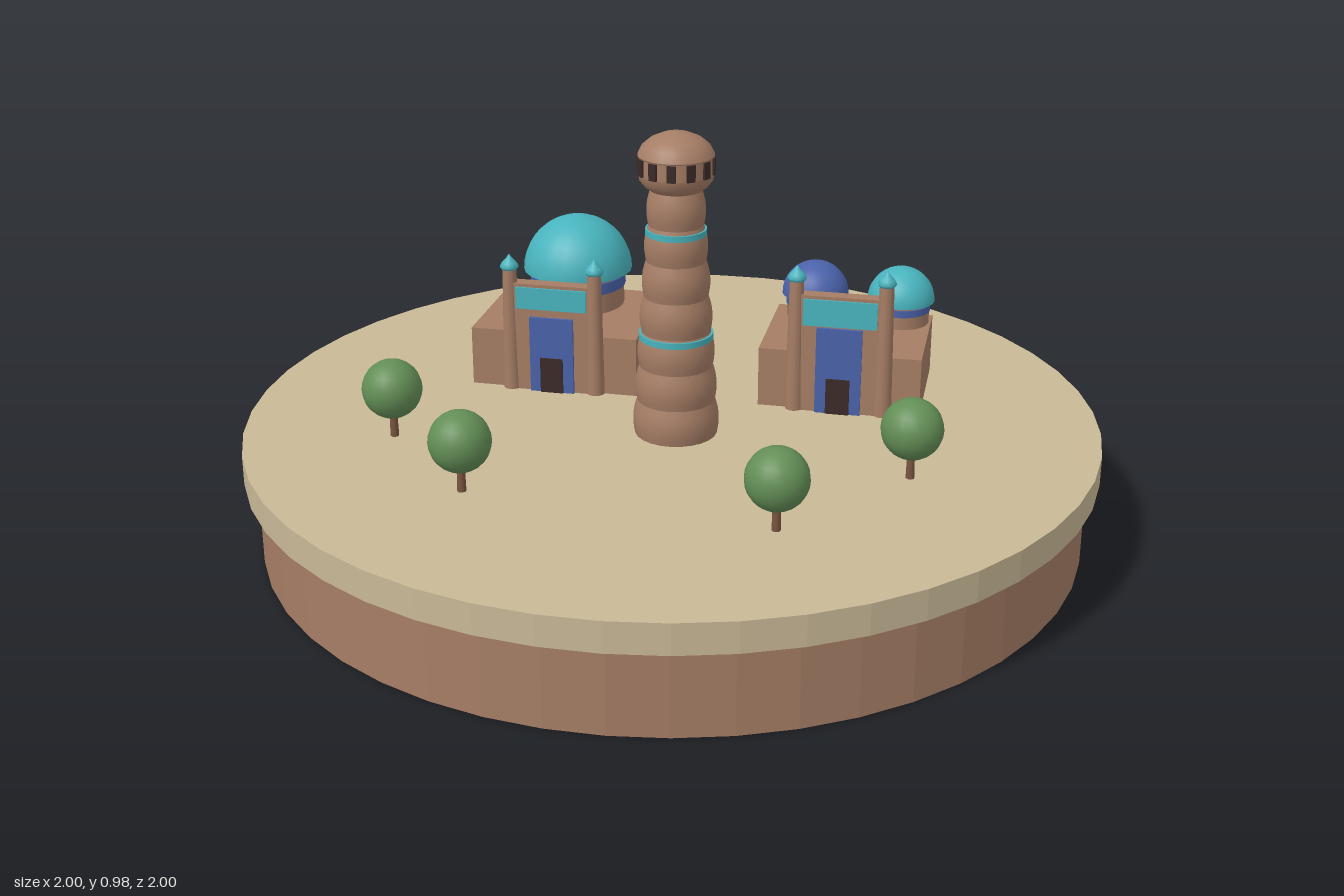
import * as THREE from 'three';

const material = (name, color, flatShading = false) => {
  const m = new THREE.MeshStandardMaterial({ color, flatShading });
  m.name = name;
  return m;
};

export function createModel() {
  const sand = material('sand', 0xc8b896, true);
  const brick = material('brick', 0xa57d65);
  const turquoise = material('turquoise tile', 0x48b3bd);
  const blue = material('blue tile', 0x4a62aa);
  const green = material('foliage', 0x638e56);
  const dark = material('dark opening', 0x3a2a28);
  const bark = material('bark', 0x7a5540);

  const GROUND = 0.27;
  const root = new THREE.Group();
  root.name = 'desertCity';

  const add = (parent, name, geometry, mat, x = 0, y = 0, z = 0) => {
    const mesh = new THREE.Mesh(geometry, mat);
    mesh.name = name;
    mesh.position.set(x, y, z);
    parent.add(mesh);
    return mesh;
  };
  const group = (name, x, y, z) => {
    const g = new THREE.Group();
    g.name = name;
    g.position.set(x, y, z);
    root.add(g);
    return g;
  };
  const box = (w, h, d) => new THREE.BoxGeometry(w, h, d);
  const cyl = (top, bottom, h, n = 24) => new THREE.CylinderGeometry(top, bottom, h, n);
  const lathe = (points, n = 24) =>
    new THREE.LatheGeometry(points.map(([r, y]) => new THREE.Vector2(r, y)), n);

  // Round two-step base
  add(root, 'plinth', cyl(0.97, 0.97, 0.2, 48).toNonIndexed(), brick, 0, 0.1, 0)
    .geometry.computeVertexNormals();
  add(root, 'groundDisc', cyl(1, 1, 0.07, 48), sand, 0, 0.235, 0);

  // Great minaret: tapering stack of bulging drums
  const minaret = group('greatMinaret', -0.005, GROUND, 0.11);
  const drums = 7, drumH = 0.0835, shaftH = drums * drumH;
  const radiusAt = (y) => 0.098 - 0.038 * (y / shaftH);
  for (let i = 0; i < drums; i++) {
    const points = [];
    for (let k = 0; k <= 6; k++) {
      const y = (i + k / 6) * drumH;
      points.push([radiusAt(y) - 0.003 + 0.007 * Math.sin(Math.PI * k / 6), y]);
    }
    add(minaret, 'shaftDrum', lathe(points), brick);
  }
  for (const y of [0.24, 0.486]) {
    const r = radiusAt(y) + 0.003;
    add(minaret, 'tileBand', cyl(r, r, 0.014), turquoise, 0, y, 0);
  }

  // Gallery with dark arches and a low cap
  add(minaret, 'galleryFlare',
    lathe([[0.058, 0.582], [0.072, 0.592], [0.082, 0.605], [0.085, 0.62]]), brick);
  add(minaret, 'galleryWall', cyl(0.083, 0.083, 0.045), brick, 0, 0.639, 0);
  for (let i = 0; i < 12; i++) {
    const a = (i + 0.5) * Math.PI / 6;
    const slot = add(minaret, 'galleryOpening', box(0.02, 0.038, 0.008), dark,
      0.0825 * Math.sin(a), 0.638, 0.0825 * Math.cos(a));
    slot.rotation.y = a;
  }
  add(minaret, 'galleryCap', lathe([[0, 0.659], [0.086, 0.659]].concat(
    [[0.086, 0.662], [0.076, 0.682], [0.058, 0.697], [0.03, 0.709], [0, 0.714]])), brick);

  // Dome on a banded drum
  const addDome = (parent, roof, { x, z, r, drum, tile }) => {
    const g = new THREE.Group();
    g.name = 'dome';
    g.position.set(x, roof, z);
    parent.add(g);
    add(g, 'domeDrum', cyl(r * 0.85, r * 0.85, drum), brick, 0, drum / 2, 0);
    add(g, 'domeBand', cyl(r * 0.88, r * 0.88, drum * 0.32), blue, 0, drum * 0.72, 0);
    add(g, 'domeShell', new THREE.SphereGeometry(r, 24, 10, 0, Math.PI * 2, 0, Math.PI / 2),
      tile, 0, drum, 0);
    const underside = add(g, 'domeUnderside', new THREE.CircleGeometry(r, 24), tile, 0, drum, 0);
    underside.rotation.x = Math.PI / 2;
  };

  // Building: hall, portal with tile panels, two corner turrets, domes
  const addBuilding = ({ name, x, z, w, d, portalH, panelH, archH, domes }) => {
    const g = group(name, x, GROUND, z);
    g.rotation.y = -0.34;
    const roof = 0.145, front = d / 2, face = front + 0.012;
    add(g, 'hall', box(w, roof, d), brick, 0, roof / 2, 0);
    add(g, 'portal', box(0.2, portalH, 0.034), brick, 0, portalH / 2, front - 0.005);
    add(g, 'portalTilePanel', box(0.174, panelH, 0.006), turquoise,
      0, portalH - 0.008 - panelH / 2, face + 0.002);
    add(g, 'portalArch', box(0.108, archH, 0.008), blue, 0, archH / 2, face + 0.003);
    add(g, 'door', box(0.056, 0.088, 0.009), dark, 0, 0.044, face + 0.006);
    for (const side of [-1, 1]) {
      const turretH = portalH + 0.032;
      add(g, 'turret', cyl(0.017, 0.022, turretH, 12), brick, side * 0.105, turretH / 2, front);
      add(g, 'turretCap', lathe([[0, 0], [0.019, 0], [0.023, 0.007], [0.018, 0.016],
        [0.007, 0.028], [0, 0.038]], 12), turquoise, side * 0.105, turretH, front);
    }
    for (const dome of domes) addDome(g, roof, dome);
  };

  addBuilding({
    name: 'largeDomedBuilding', x: -0.21, z: -0.337, w: 0.412, d: 0.348,
    portalH: 0.272, panelH: 0.054, archH: 0.19,
    domes: [{ x: 0, z: -0.069, r: 0.136, drum: 0.09, tile: turquoise }],
  });
  addBuilding({
    name: 'twinDomedBuilding', x: 0.443, z: -0.1, w: 0.385, d: 0.313,
    portalH: 0.29, panelH: 0.065, archH: 0.213,
    domes: [
      { x: -0.095, z: -0.106, r: 0.082, drum: 0.056, tile: blue },
      { x: 0.117, z: -0.103, r: 0.082, drum: 0.056, tile: turquoise },
    ],
  });

  // Round trees
  for (const [x, z] of [[-0.652, 0.056], [-0.505, 0.37], [0.47, 0.43], [0.134, 0.64]]) {
    const tree = group('tree', x, GROUND, z);
    add(tree, 'trunk', cyl(0.008, 0.01, 0.08, 8), bark, 0, 0.04, 0);
    add(tree, 'crown', new THREE.SphereGeometry(0.069, 20, 14), green, 0, 0.117, 0);
  }

  return root;
}
